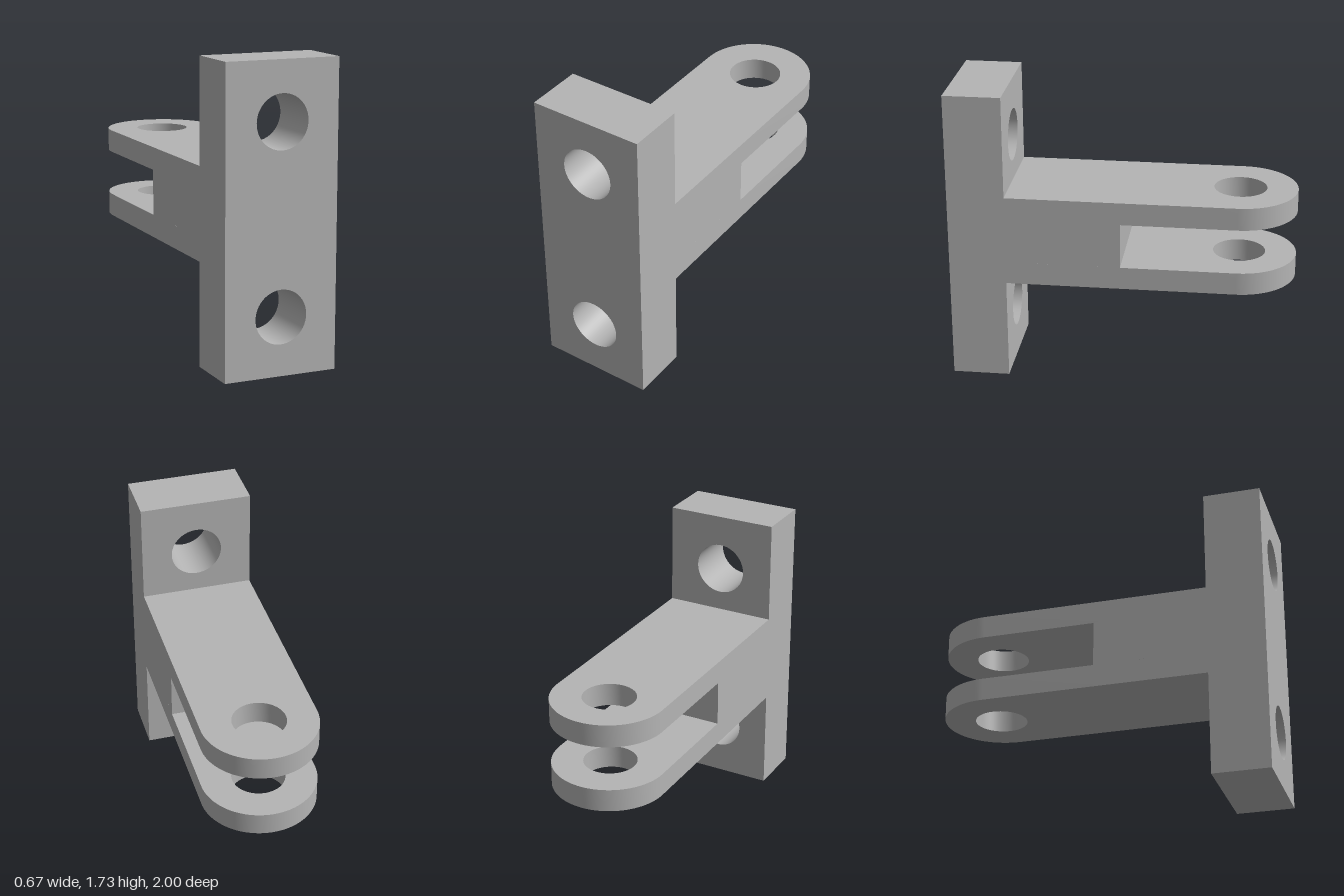
import * as THREE from 'three';
import { toCreasedNormals } from 'three/addons/utils/BufferGeometryUtils.js';

const HALF = 1 / 3;      // half width of the bracket
const BORE = 0.153;      // radius of every hole
const LUG = 0.1333;      // thickness of each fork lug

// Extrudes a flat outline with round holes, smooth around the curves
function drilledSlab(shape, holes, depth) {
  for (const [x, y] of holes) {
    const hole = new THREE.Path();
    hole.absarc(x, y, BORE, 0, Math.PI * 2, true);
    shape.holes.push(hole);
  }
  const geo = new THREE.ExtrudeGeometry(shape, { depth, bevelEnabled: false, curveSegments: 32 });
  return toCreasedNormals(geo, 0.6);
}

export function createModel() {
  const model = new THREE.Group();
  model.name = 'clevisBracket';
  const grey = new THREE.MeshStandardMaterial({ color: 0xb4b4b4 });
  grey.name = 'grey metal';

  const add = (name, geo, y, z) => {
    const mesh = new THREE.Mesh(geo, grey);
    mesh.name = name;
    mesh.position.set(0, y, z);
    model.add(mesh);
  };

  // Upright mounting plate with two bolt holes
  const plate = new THREE.Shape();
  plate.moveTo(-HALF, 0);
  plate.lineTo(HALF, 0);
  plate.lineTo(HALF, 1.7333);
  plate.lineTo(-HALF, 1.7333);
  plate.closePath();
  add('mountingPlate', drilledSlab(plate, [[0, 0.3333], [0, 1.4]], 1 / 3), 0, 2 / 3);

  // Two round-ended lugs, outlined in plan and laid flat
  for (const [name, y] of [['lowerLug', 0.6], ['upperLug', 1]]) {
    const lug = new THREE.Shape();
    lug.moveTo(-HALF, -2 / 3);
    lug.lineTo(HALF, -2 / 3);
    lug.lineTo(HALF, 2 / 3);
    lug.absarc(0, 2 / 3, HALF, 0, Math.PI, false);
    lug.closePath();
    add(name, drilledSlab(lug, [[0, 2 / 3]], LUG).rotateX(-Math.PI / 2), y, 0);
  }

  // Solid root of the arm between the lugs
  add('armCore', new THREE.BoxGeometry(HALF * 2, 0.2667, 2 / 3), 0.8667, 1 / 3);

  return model;
}
